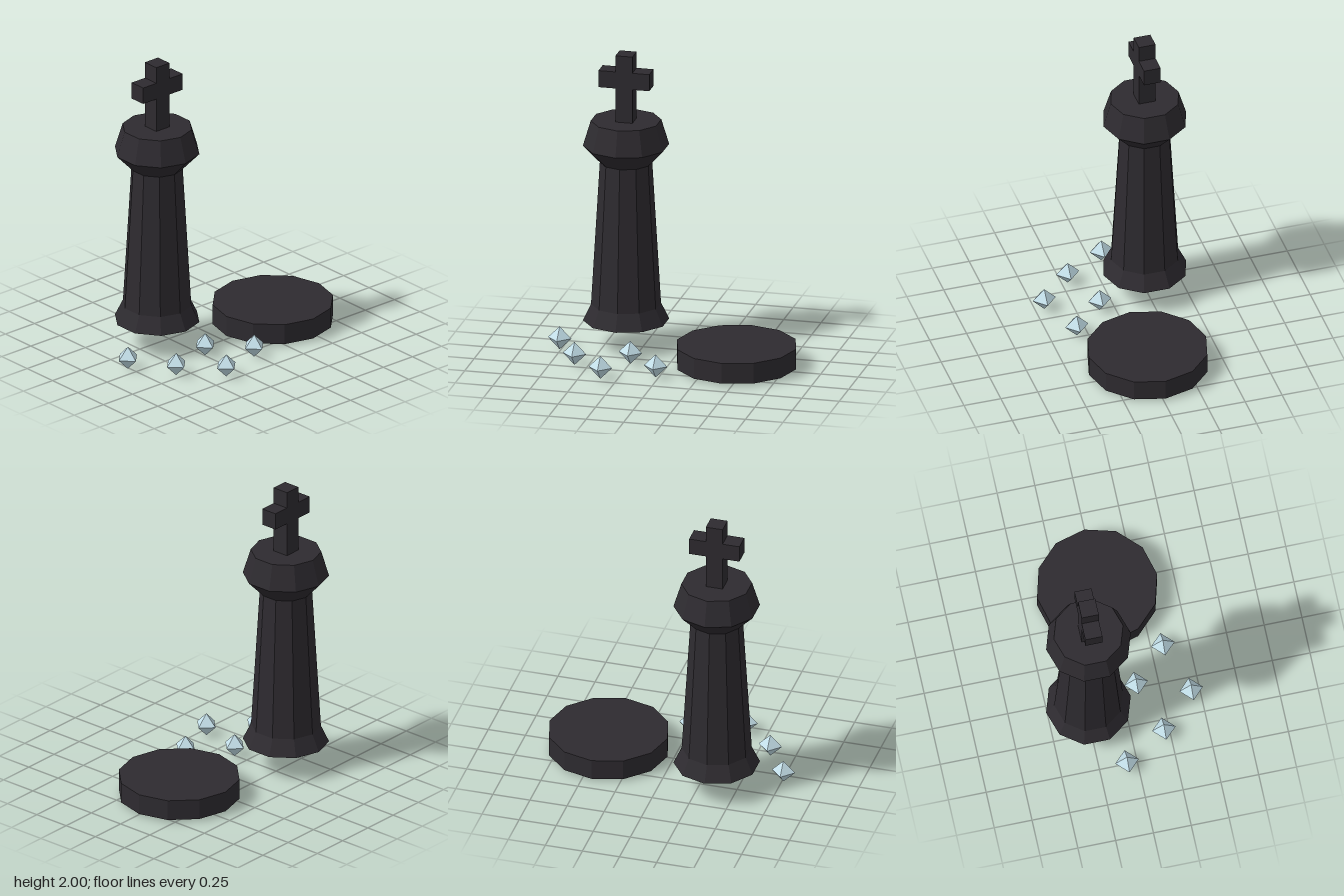
import * as THREE from 'three';

export function createModel() {
  const model = new THREE.Group();
  model.name = 'chessKingWithDiscAndCrystals';

  const dark = new THREE.MeshStandardMaterial({ color: 0x2e2b30, flatShading: true });
  const darkShell = new THREE.MeshStandardMaterial({ color: 0x2e2b30, flatShading: true, side: THREE.DoubleSide });
  const ice = new THREE.MeshStandardMaterial({ color: 0xc4e0ea, flatShading: true });

  const add = (parent, name, geometry, material, x, y, z) => {
    const mesh = new THREE.Mesh(geometry, material);
    mesh.name = name;
    mesh.position.set(x, y, z);
    parent.add(mesh);
    return mesh;
  };

  // Chess king: ten-sided hollow body, open underneath
  const king = new THREE.Group();
  king.name = 'king';
  king.position.set(-0.36, 0, -0.24);
  model.add(king);

  const profile = [
    [0.16, 0.155], [0.28, 0.185], [0.227, 0.295], // foot
    [0.17, 1.262], // tapered shaft
    [0.28, 1.378], [0.229, 1.547], [0, 1.547], // crown
  ].map(([r, y]) => new THREE.Vector2(r, y));
  add(king, 'kingBody', new THREE.LatheGeometry(profile, 10), darkShell, 0, 0, 0);

  // Cross on top: post and two arms
  const t = 0.113;
  add(king, 'crossPost', new THREE.BoxGeometry(t, 0.455, t), dark, 0, 1.7725, 0);
  for (const [name, side] of [['leftCrossArm', 1], ['rightCrossArm', -1]]) {
    add(king, name, new THREE.BoxGeometry(t, t, t), dark, side * t, 1.833, 0);
  }

  // Flat twelve-sided disc
  add(model, 'disc', new THREE.CylinderGeometry(0.397, 0.397, 0.138, 12), dark, 0.435, 0.086, -0.013);

  // Scattered crystals
  const crystal = new THREE.OctahedronGeometry(0.078);
  const spots = [[-0.76, -0.07], [-0.59, 0.21], [-0.245, 0.1], [-0.36, 0.44], [-0.02, 0.325]];
  spots.forEach(([x, z], i) => add(model, `crystal${i + 1}`, crystal, ice, x, 0.081, z));

  return model;
}
